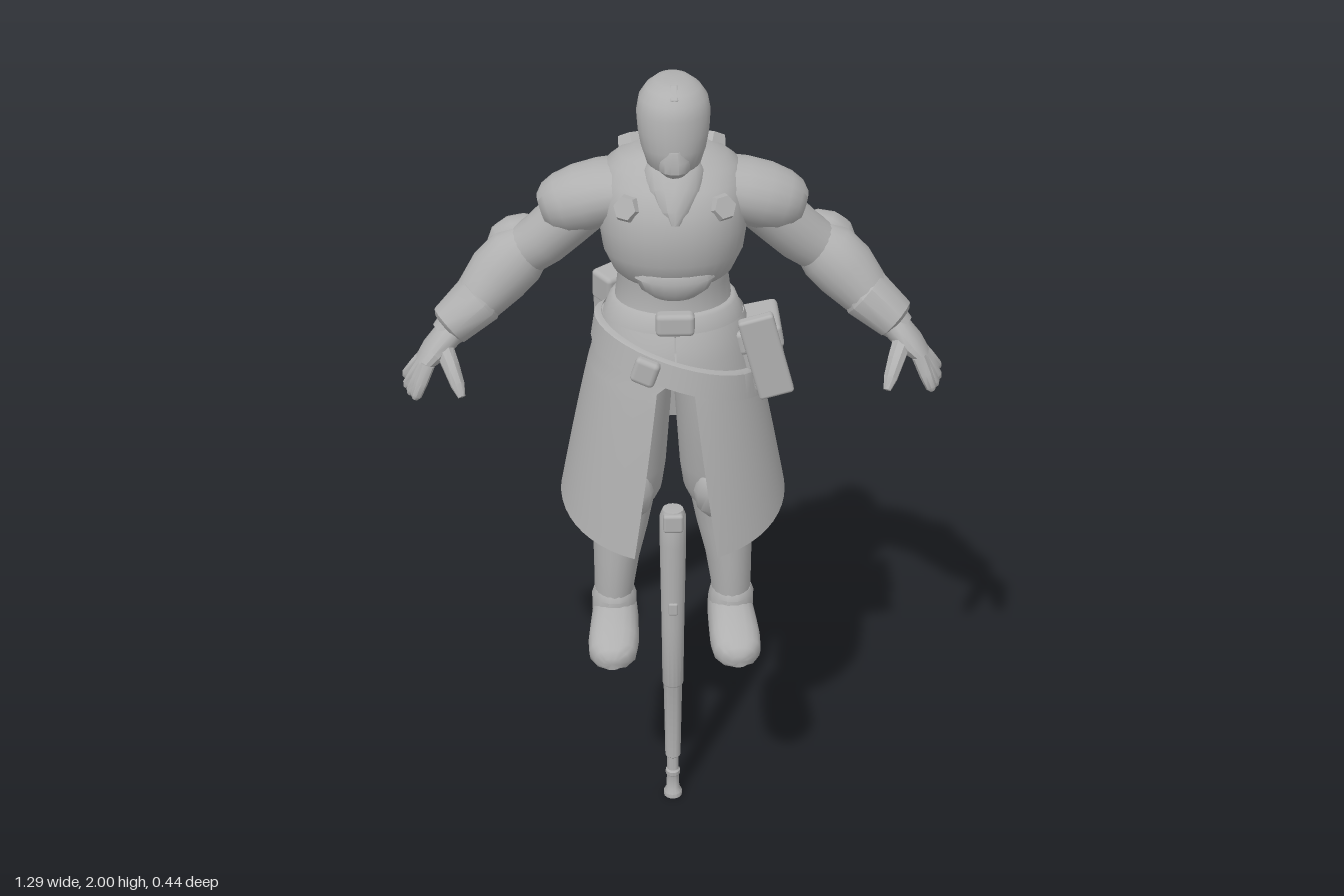
import * as THREE from 'three';
import { toCreasedNormals } from 'three/addons/utils/BufferGeometryUtils.js';
import { RoundedBoxGeometry } from 'three/addons/geometries/RoundedBoxGeometry.js';

const grey = new THREE.MeshStandardMaterial({ color: 0xb0b0b0 });
grey.name = 'plain grey';
const greyCloth = grey.clone();
greyCloth.name = 'plain grey cloth';
greyCloth.side = THREE.DoubleSide;

export function createModel() {
  const root = new THREE.Group();
  root.name = 'armouredFigure';

  const add = (name, geo, mat = grey) => {
    const mesh = new THREE.Mesh(geo, mat);
    mesh.name = name;
    root.add(mesh);
    return mesh;
  };

  // Skin of elliptical rings along a path; each row is x, y, z, radius A, radius B.
  // For upright paths A is the x radius and B the z radius.
  function loft(rows, { n = 20, k = 1, warp } = {}) {
    const P = rows.map(r => new THREE.Vector3(r[0], r[1], r[2]));
    const axis = P[P.length - 1].clone().sub(P[0]).normalize();
    const ref = Math.abs(axis.z) > 0.8 ? new THREE.Vector3(0, 1, 0) : new THREE.Vector3(0, 0, 1);
    const pos = [], idx = [], bend = c => Math.sign(c) * Math.abs(c) ** k;
    rows.forEach((r, i) => {
      const t = axis.clone();
      if (Math.abs(axis.y) < 0.97) t.copy(P[Math.min(i + 1, P.length - 1)]).sub(P[Math.max(i - 1, 0)]).normalize();
      const a = t.clone().cross(ref).normalize(), b = a.clone().cross(t);
      for (let j = 0; j < n; j++) {
        const w = j / n * Math.PI * 2;
        const v = P[i].clone().addScaledVector(a, r[3] * bend(Math.cos(w))).addScaledVector(b, r[4] * bend(Math.sin(w)));
        if (warp) warp(v);
        pos.push(v.x, v.y, v.z);
      }
    });
    for (let i = 0; i < rows.length - 1; i++) for (let j = 0; j < n; j++) {
      const p = i * n + j, q = i * n + (j + 1) % n;
      idx.push(p, p + n, q, q, p + n, q + n);
    }
    [0, rows.length - 1].forEach((i, end) => {
      const c = P[i].clone();
      if (warp) warp(c);
      const m = pos.length / 3;
      pos.push(c.x, c.y, c.z);
      for (let j = 0; j < n; j++) {
        const p = i * n + j, q = i * n + (j + 1) % n;
        end ? idx.push(m, q, p) : idx.push(m, p, q);
      }
    });
    const g = new THREE.BufferGeometry();
    g.setAttribute('position', new THREE.Float32BufferAttribute(pos, 3));
    g.setIndex(idx);
    return toCreasedNormals(g, 0.75);
  }

  // Upright body given as rows of height, half width, front z, back z
  const body = (rows, opt) => loft(rows.map(([y, w, f, b]) => [0, y, (f + b) / 2, w, (f - b) / 2]), opt);

  // Six-sided stud facing a direction
  function stud(name, p, dir, r, h) {
    const m = add(name, toCreasedNormals(new THREE.CylinderGeometry(r * 0.8, r, h, 6), 0.3));
    m.position.set(...p);
    m.quaternion.setFromUnitVectors(new THREE.Vector3(0, 1, 0), new THREE.Vector3(...dir).normalize());
  }

  function box(name, size, p, rot = [0, 0, 0], r = 0.012) {
    const m = add(name, new RoundedBoxGeometry(...size, 2, r));
    m.position.set(...p);
    m.rotation.set(...rot);
  }

  // Head and mask
  add('head', body([[1.77, 0.06, 0.06, -0.065], [1.802, 0.054, 0.1, -0.045], [1.82, 0.062, 0.118, -0.032],
    [1.86, 0.074, 0.124, -0.026], [1.895, 0.081, 0.12, -0.042], [1.935, 0.084, 0.118, -0.066],
    [1.965, 0.078, 0.107, -0.072], [1.985, 0.062, 0.085, -0.068], [1.996, 0.042, 0.06, -0.06], [2, 0.025, 0.04, -0.045]], { n: 24 }));
  add('mask', body([[1.806, 0.028, 0.118, 0.05], [1.82, 0.038, 0.132, 0.05], [1.845, 0.038, 0.133, 0.05],
    [1.87, 0.025, 0.127, 0.05]], { n: 14 }));
  box('crest', [0.018, 0.012, 0.05], [0, 1.985, 0.07], [0.45, 0, 0], 0.004);

  // Torso armour
  add('abdomen', body([[1.38, 0.16, 0.145, -0.145], [1.46, 0.138, 0.125, -0.125], [1.52, 0.13, 0.12, -0.125], [1.58, 0.14, 0.13, -0.13]], { n: 28 }));
  add('chest', body([[1.535, 0.125, 0.125, -0.12], [1.55, 0.14, 0.143, -0.13], [1.6, 0.163, 0.16, -0.145], [1.66, 0.172, 0.165, -0.155],
    [1.72, 0.172, 0.155, -0.16], [1.765, 0.166, 0.125, -0.155], [1.795, 0.15, 0.09, -0.14], [1.815, 0.125, 0.072, -0.12],
    [1.83, 0.09, 0.06, -0.09], [1.835, 0.06, 0.05, -0.06]], { n: 32, k: 0.93 }));
  add('gorget', body([[1.695, 0.02, 0.165, 0.06], [1.72, 0.045, 0.163, 0.05], [1.76, 0.065, 0.142, 0.04], [1.8, 0.07, 0.105, 0.02], [1.82, 0.06, 0.08, 0.01]], { n: 16 }));
  add('bellyPlate', body([[1.515, 0.055, 0.137, 0.06], [1.535, 0.08, 0.152, 0.06], [1.565, 0.095, 0.158, 0.06], [1.58, 0.09, 0.153, 0.06]]));
  const shield = new THREE.Shape([[-0.05, 0.06], [0.05, 0.06], [0.055, 0.01], [0.03, -0.06], [-0.03, -0.06], [-0.055, 0.01]]
    .map(p => new THREE.Vector2(...p)));
  add('backPlate', new THREE.ExtrudeGeometry(shield, { depth: 0.025, bevelSize: 0.005, bevelThickness: 0.005, bevelSegments: 1 }))
    .position.set(0, 1.715, -0.16);

  // Belts
  add('belt', body([[1.42, 0.16, 0.145, -0.145], [1.425, 0.166, 0.152, -0.15], [1.465, 0.15, 0.142, -0.14], [1.47, 0.142, 0.135, -0.135]], { n: 28 }));
  box('beltBuckle', [0.09, 0.055, 0.04], [0, 1.455, 0.14]);
  add('slantedBelt', body([[1.295, 0.2, 0.185, -0.165], [1.3, 0.207, 0.196, -0.176], [1.36, 0.198, 0.186, -0.168], [1.365, 0.188, 0.178, -0.16]],
    { n: 36, warp: v => { v.y -= v.x * 0.33; v.x += 0.012; } }));
  box('slantedBuckle', [0.06, 0.065, 0.03], [-0.07, 1.352, 0.18], [0, -0.25, -0.32]);

  // Coat skirt, split at the front below the belts, with a hem that rises towards the back
  const skirt = new THREE.PlaneGeometry(1, 1, 48, 16), sp = skirt.attributes.position;
  for (let i = 0; i < sp.count; i++) {
    const u = sp.getX(i) + 0.5, v = 0.5 - sp.getY(i);
    const gap = v < 0.24 ? 0.01 : 0.17 + 0.2 * v, w = gap + u * (2 * Math.PI - 2 * gap);
    const c = Math.cos(w), s = Math.sin(w);
    const z = c * (c > 0 ? 0.15 + 0.085 * v ** 0.6 : 0.148 + 0.072 * v);
    const x = s * (0.168 + 0.107 * v ** 0.85);
    sp.setXYZ(i, x, THREE.MathUtils.lerp(1.43, 0.945 - 0.35 * z, v), z);
  }
  skirt.computeVertexNormals();
  add('coatSkirt', skirt, greyCloth);

  // Pouches
  box('sidePouch', [0.1, 0.15, 0.15], [0.21, 1.325, 0.02], [0, 0, 0.2]);
  box('sidePouchFlap', [0.11, 0.06, 0.16], [0.2, 1.385, 0.02], [0, 0, 0.2]);
  box('sideHolster', [0.085, 0.21, 0.03], [0.215, 1.345, 0.095], [0, 0, 0.27], 0.008);
  box('backPouch', [0.11, 0.19, 0.065], [-0.128, 1.37, -0.148], [0.14, 0.65, 0]);
  box('backPouchFlap', [0.118, 0.08, 0.072], [-0.125, 1.435, -0.14], [0.14, 0.65, 0]);

  for (const s of [1, -1]) {
    const side = s > 0 ? 'left' : 'right';
    const limb = (name, rows, opt) => add(side + name, loft(rows.map(r => [r[0] * s, ...r.slice(1)]), opt));
    const disc = (name, p, d, r, h) => stud(side + name, [p[0] * s, p[1], p[2]], [d[0] * s, d[1], d[2]], r, h);

    // Studs on the chest and shoulder blades
    disc('ChestStud', [0.11, 1.735, 0.122], [0.45, 0.45, 1], 0.034, 0.02);
    disc('ShoulderStud', [0.092, 1.812, -0.088], [0.25, 1, -0.6], 0.04, 0.035);

    // Shoulder pad and arm
    limb('ShoulderPad', [[0.1, 1.735, -0.02, 0.065, 0.105], [0.16, 1.72, -0.02, 0.075, 0.102], [0.21, 1.705, -0.02, 0.077, 0.095],
      [0.255, 1.69, -0.02, 0.071, 0.082], [0.283, 1.68, -0.02, 0.06, 0.064], [0.3, 1.674, -0.02, 0.042, 0.042]]);
    limb('UpperArm', [[0.19, 1.7, -0.02, 0.065, 0.075], [0.25, 1.645, -0.03, 0.066, 0.075], [0.3, 1.595, -0.04, 0.064, 0.068],
      [0.36, 1.55, -0.05, 0.06, 0.06]]);
    limb('Forearm', [[0.325, 1.58, -0.055, 0.055, 0.055], [0.365, 1.548, -0.045, 0.075, 0.072], [0.41, 1.505, -0.033, 0.075, 0.076],
      [0.455, 1.456, -0.015, 0.062, 0.068], [0.5, 1.41, 0.005, 0.048, 0.055], [0.54, 1.375, 0.02, 0.036, 0.042]]);
    limb('Cuff', [[0.45, 1.46, -0.015, 0.058, 0.066], [0.455, 1.455, -0.013, 0.064, 0.072], [0.527, 1.397, 0.01, 0.052, 0.064],
      [0.533, 1.392, 0.012, 0.04, 0.05]], { n: 12 });
    limb('ElbowPad', [[0.295, 1.6, -0.098, 0.03, 0.03], [0.315, 1.585, -0.092, 0.058, 0.055], [0.35, 1.565, -0.082, 0.074, 0.068],
      [0.39, 1.545, -0.072, 0.07, 0.06], [0.42, 1.53, -0.066, 0.04, 0.035]], { n: 14 });
    disc('ElbowStud', [0.315, 1.565, -0.142], [-0.3, 0.1, -1], 0.038, 0.025);
    disc('ElbowStudOuter', [0.385, 1.6, -0.1], [0.4, 0.75, -0.6], 0.038, 0.025);

    // Hand
    limb('Palm', [[0.505, 1.405, 0.01, 0.032, 0.04], [0.535, 1.375, 0.024, 0.033, 0.05], [0.565, 1.345, 0.038, 0.03, 0.059], [0.592, 1.318, 0.045, 0.019, 0.057]], { n: 14 });
    for (let i = 0; i < 4; i++) {
      const z = 0.004 + i * 0.028, len = [0.9, 1, 1, 0.92][i], dx = (0.072 - i * 0.012) * len, dy = -0.086 * len, dz = (i - 1) * 0.011;
      limb('Finger' + (i + 1), [0, 0.5, 0.9, 1].map((t, j) =>
        [0.577 + dx * t, 1.332 + dy * t, z + dz * t, [0.017, 0.016, 0.013, 0.006][j], [0.016, 0.015, 0.013, 0.006][j]]), { n: 8 });
    }
    limb('Thumb', [[0.54, 1.36, 0.055, 0.024, 0.025], [0.522, 1.328, 0.092, 0.021, 0.022], [0.507, 1.295, 0.122, 0.017, 0.017], [0.498, 1.272, 0.138, 0.009, 0.009]], { n: 8 });

    // Leg
    limb('Thigh', [[0.112, 0.92, -0.015, 0.07, 0.07], [0.114, 0.955, -0.015, 0.088, 0.09], [0.112, 1.02, -0.01, 0.095, 0.1],
      [0.1, 1.12, -0.005, 0.09, 0.108], [0.085, 1.25, 0, 0.084, 0.12], [0.07, 1.38, 0, 0.08, 0.115]]);
    limb('Shin', [[0.148, 0.6, -0.012, 0.05, 0.062], [0.147, 0.66, -0.013, 0.05, 0.068], [0.14, 0.75, -0.018, 0.058, 0.075],
      [0.13, 0.84, -0.028, 0.071, 0.084], [0.123, 0.9, -0.028, 0.076, 0.086], [0.115, 0.95, -0.018, 0.074, 0.084], [0.11, 0.98, -0.015, 0.06, 0.07]]);
    limb('KneePad', [[0.112, 0.89, 0.045, 0.03, 0.02], [0.112, 0.92, 0.055, 0.055, 0.035], [0.108, 0.97, 0.06, 0.06, 0.042],
      [0.1, 1.01, 0.06, 0.04, 0.035], [0.098, 1.03, 0.055, 0.012, 0.015]], { n: 12 });

    // Boot with a flat sole
    limb('BootCuff', [[0.148, 0.58, -0.008, 0.055, 0.066], [0.148, 0.635, -0.008, 0.056, 0.07], [0.148, 0.65, -0.012, 0.05, 0.066]], { n: 14 });
    limb('Boot', [[0.145, 0.565, -0.076, 0.045, 0.05], [0.145, 0.57, -0.06, 0.054, 0.06], [0.146, 0.572, 0, 0.058, 0.064],
      [0.149, 0.567, 0.06, 0.061, 0.06], [0.152, 0.56, 0.11, 0.063, 0.05], [0.155, 0.553, 0.155, 0.058, 0.042], [0.157, 0.55, 0.18, 0.042, 0.034],
      [0.158, 0.548, 0.194, 0.02, 0.018]], { k: 0.8, warp: v => { v.y = Math.max(v.y, 0.53); } });
  }

  // Tapered support pole
  const pole = [[0, 0], [0.024, 0], [0.024, 0.012], [0.017, 0.025], [0.016, 0.065], [0.019, 0.07], [0.019, 0.08], [0.015, 0.085],
    [0.015, 0.125], [0.02, 0.13], [0.024, 0.355], [0.027, 0.36], [0.029, 0.54], [0.033, 0.78], [0.033, 0.86], [0.026, 0.878], [0, 0.88]];
  add('pole', toCreasedNormals(new THREE.LatheGeometry(pole.map(p => new THREE.Vector2(...p)), 16), 0.6));
  box('poleCap', [0.05, 0.05, 0.062], [0, 0.85, 0.004], [0, 0, 0], 0.008);
  box('poleCatch', [0.024, 0.035, 0.016], [0, 0.6, 0.026], [0, 0, 0], 0.005);

  return root;
}
